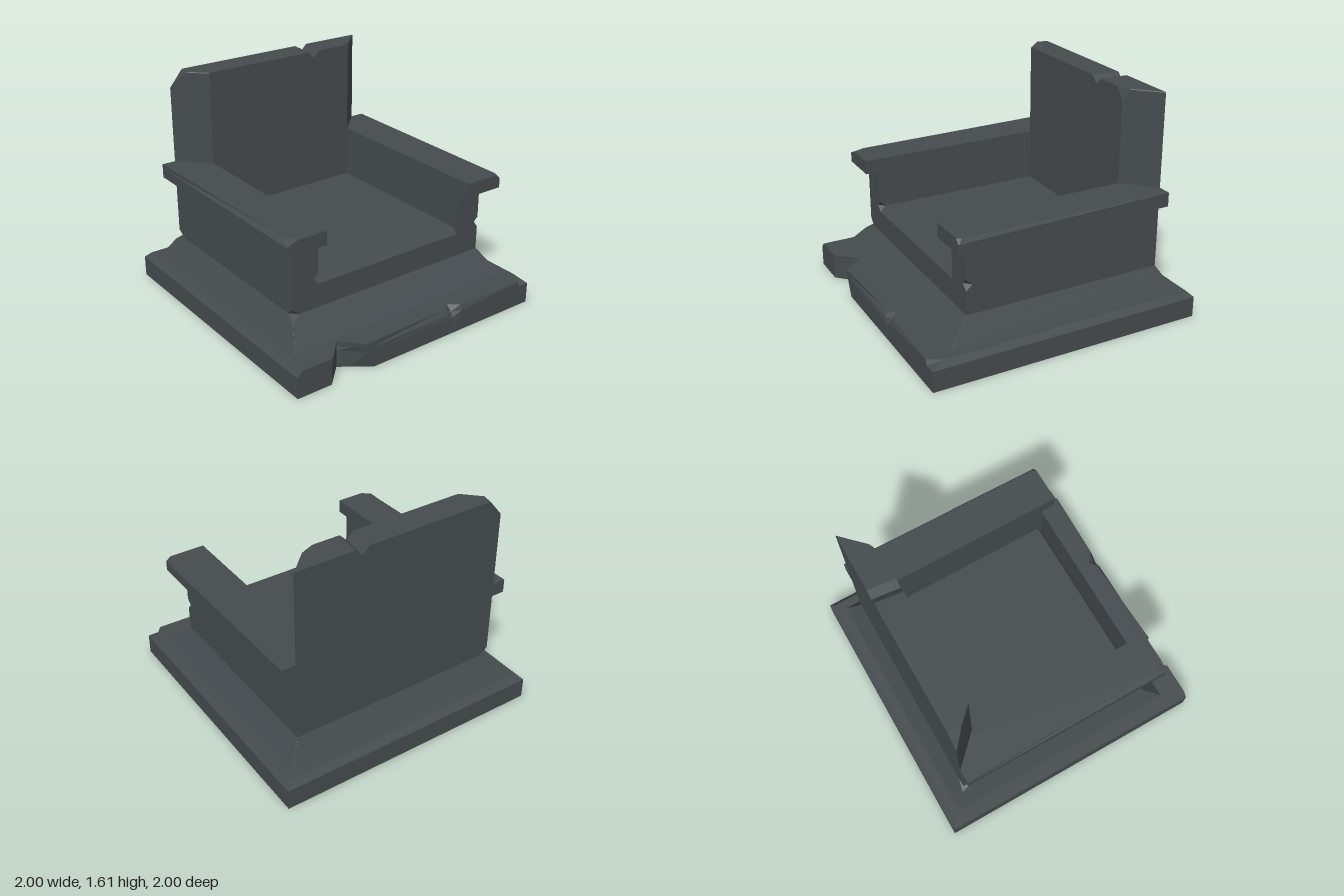
import * as THREE from 'three';

const stone = new THREE.MeshStandardMaterial({ color: 0x454b4e, flatShading: true });

// Solid through stacked cross-sections: levels = [[height, loop], ...] with rising height.
// axis 'y': loop points are [x, z]; axis 'x': loop points are [y, z].
function loft(name, axis, levels) {
  const place = axis === 'y' ? (u, v, h) => [v, h, u] : (u, v, h) => [h, u, v];
  let loops = levels.map(([, loop]) =>
    loop.map(([a, z]) => (axis === 'y' ? new THREE.Vector2(z, a) : new THREE.Vector2(a, z))));
  if (THREE.ShapeUtils.area(loops[0]) < 0) loops = loops.map((l) => l.reverse());
  const n = loops[0].length, top = (loops.length - 1) * n;
  const position = [], index = [];
  loops.forEach((loop, k) => loop.forEach((p) => position.push(...place(p.x, p.y, levels[k][0]))));
  for (let k = 0; k < loops.length - 1; k++) {
    for (let i = 0; i < n; i++) {
      const a = k * n + i, b = k * n + (i + 1) % n;
      index.push(a, b, b + n, a, b + n, a + n);
    }
  }
  for (const [a, b, c] of THREE.ShapeUtils.triangulateShape(loops[0], [])) index.push(a, c, b);
  for (const [a, b, c] of THREE.ShapeUtils.triangulateShape(loops[loops.length - 1], [])) {
    index.push(top + a, top + b, top + c);
  }
  const geometry = new THREE.BufferGeometry();
  geometry.setAttribute('position', new THREE.Float32BufferAttribute(position, 3));
  geometry.setIndex(index);
  geometry.computeVertexNormals();
  const mesh = new THREE.Mesh(geometry, stone);
  mesh.name = name;
  return mesh;
}

// Rectangle whose four corners are cut by the given chip sizes
// (order: back right, back left, front left, front right)
function chippedRect(x0, x1, z0, z1, chips = [0, 0, 0, 0]) {
  const [a, b, c, d] = chips.map((v) => Math.max(v, 0.001));
  return [[x0 + a, z0], [x0, z0 + a], [x0, z1 - b], [x0 + b, z1],
    [x1 - c, z1], [x1, z1 - c], [x1, z0 + d], [x1 - d, z0]];
}

export function createModel() {
  const throne = new THREE.Group();
  throne.name = 'stoneThrone';

  // Plinth with bevelled rim and a broken front edge
  const rim = (y, rows) => [y, [[-1, -1], [-1, 1], [1, 1], ...rows]];
  throne.add(loft('plinth', 'y', [
    rim(0, [[1, 0.74], [0.86, 0.6], [0.9, 0.53], [1, 0.4], [1, -0.24], [1, -0.29], [1, -0.36], [1, -0.92], [1, -1]]),
    rim(0.12, [[1, 0.74], [0.855, 0.595], [0.91, 0.52], [1, 0.45], [1, -0.24], [0.995, -0.29], [1, -0.36], [1, -0.92], [1, -1]]),
    rim(0.15, [[1, 0.735], [0.85, 0.59], [0.92, 0.525], [1, 0.46], [0.995, -0.24], [0.97, -0.29], [1, -0.36], [1, -0.92], [1, -1]]),
    [0.19, [[-0.96, -0.965], [-0.96, 0.96], [1, 0.96],
      [1, 0.73], [0.85, 0.59], [0.92, 0.53], [1, 0.47],
      [0.97, -0.24], [0.93, -0.29], [0.985, -0.36], [1, -0.9], [0.9, -0.965]]],
  ]));

  // Flared skirt rising into the lower block, with chipped left corners
  const chip = [0, 0.07, 0.05, 0];
  throne.add(loft('pedestal', 'y', [
    [0.19, chippedRect(-0.9, 0.83, -0.9, 0.9)],
    [0.32, chippedRect(-0.821, 0.7, -0.821, 0.821)],
    [0.355, chippedRect(-0.8, 0.665, -0.8, 0.8, chip)],
    [0.4, chippedRect(-0.8, 0.665, -0.8, 0.8)],
    [0.525, chippedRect(-0.8, 0.665, -0.8, 0.8)],
  ]));

  // Seat slab with bevelled front edge
  throne.add(loft('seat', 'y', [
    [0.525, chippedRect(-0.6, 0.665, -0.6, 0.6)],
    [0.565, chippedRect(-0.6, 0.63, -0.6, 0.6)],
  ]));

  // Arm walls with one nick each, and overhanging rails with worn outer edges
  for (const s of [1, -1]) {
    const side = s > 0 ? 'left' : 'right';
    const z0 = s > 0 ? 0.6 : -0.8;
    const wall = (y, nick = 0) => [y, chippedRect(-0.8, 0.665, z0, z0 + 0.2, [0, 0, 0, nick])];
    throne.add(loft(side + 'ArmWall', 'y',
      [wall(0.525), wall(0.565, 0.045), wall(0.605), wall(0.84)]));

    const wear = s > 0 ? 0.035 : 0.02, cut = s > 0 ? 0.09 : 0.03;
    const rail = (y, w, c) => [y, [[-0.8, 0.6 * s], [-0.8, 0.9 * s],
      [0.76 - c, (0.9 - w) * s], [0.76, (0.9 - w - c * 0.6) * s], [0.76, 0.6 * s]]];
    throne.add(loft(side + 'ArmRail', 'y',
      [rail(0.84, 0, 0.005), rail(0.91, 0, 0.005), rail(0.94, wear, cut)]));
  }

  // Back panel between the arms
  const panel = new THREE.Mesh(new THREE.BoxGeometry(0.2, 0.415, 1.2), stone);
  panel.position.set(-0.7, 0.7325, 0);
  panel.name = 'lowerBack';
  throne.add(panel);

  // Upper backrest: mitred sides, broken top corners and a notch across the top
  const slab = (x, zl, yl, cl, zr, yr, cr, notch) => [x, [
    [0.94, zl], [yl, zl], [1.61, zl - cl],
    [1.61, notch + 0.05], [1.56, notch], [1.61, notch - 0.05],
    [1.61, zr + cr], [yr, zr], [0.94, zr]]];
  throne.add(loft('backrest', 'x', [
    slab(-0.8, 0.8, 1.49, 0.1, -0.8, 1.605, 0.005, -0.31),
    slab(-0.72, 0.72, 1.605, 0.005, -0.72, 1.605, 0.005, -0.302),
    slab(-0.64, 0.64, 1.605, 0.005, -0.64, 1.605, 0.005, -0.294),
    slab(-0.6, 0.6, 1.605, 0.005, -0.6, 1.53, 0.06, -0.29),
  ]));

  return throne;
}
